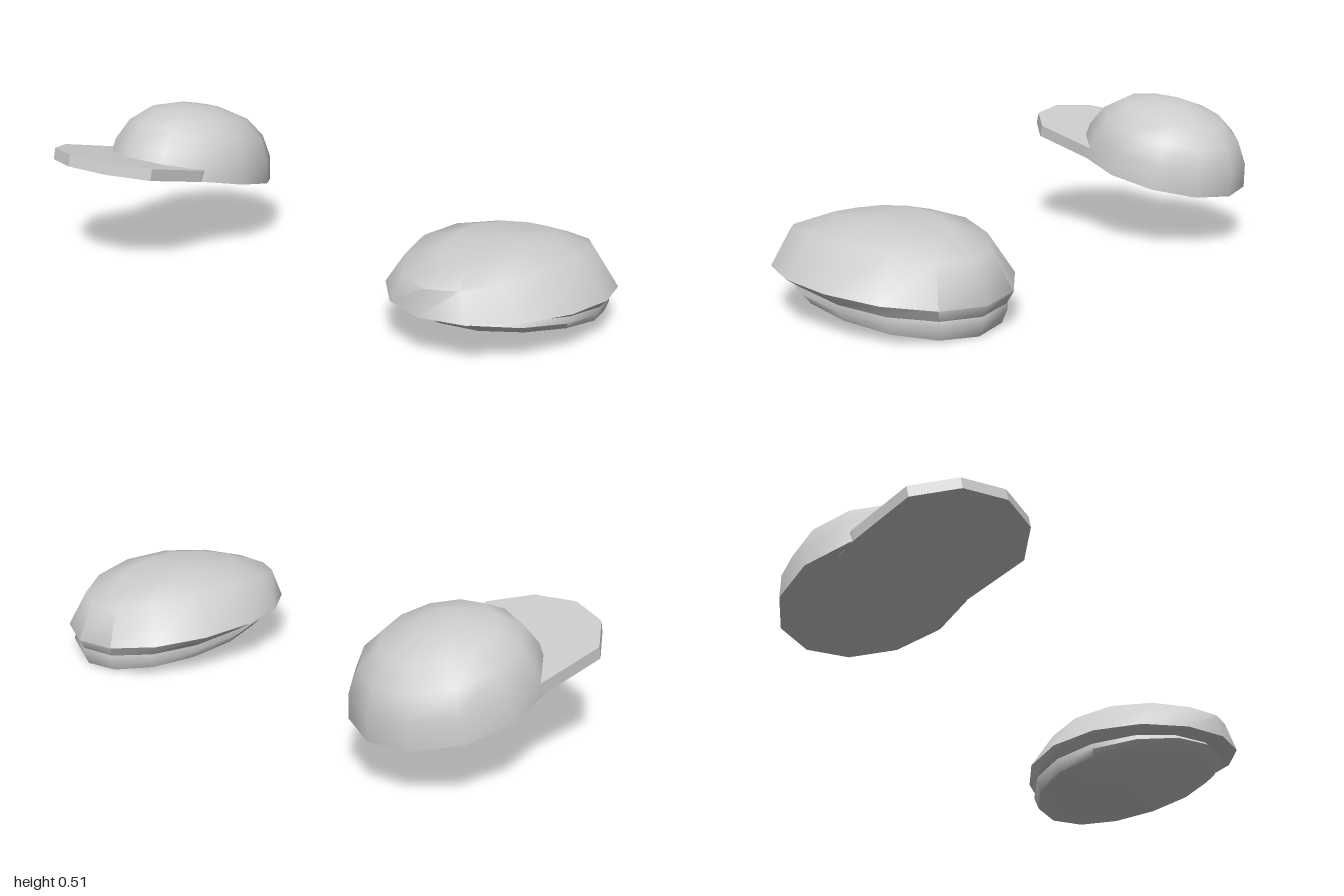
import * as THREE from 'three';
import { toCreasedNormals } from 'three/addons/utils/BufferGeometryUtils.js';

const material = new THREE.MeshStandardMaterial({ color: 0xcccccc });

// Closed loft through oval rings, bottom to top.
// Ring: [zFront, zBack, halfWidth, yFront, ySide, yBack]
function loft(rings, sides, topY) {
  const pos = [], index = [];
  for (const [zf, zb, rx, yf, ym, yb] of rings) {
    for (let j = 0; j < sides; j++) {
      const a = (j / sides) * Math.PI * 2, c = Math.cos(a);
      pos.push(
        rx * Math.sin(a),
        ym + ((yf - yb) / 2) * c + ((yf + yb) / 2 - ym) * c * c,
        (zf + zb) / 2 + ((zf - zb) / 2) * c
      );
    }
  }
  const first = rings[0], last = rings[rings.length - 1];
  const bottom = pos.length / 3, top = bottom + 1;
  pos.push(0, first[4], (first[0] + first[1]) / 2);
  pos.push(0, topY, (last[0] + last[1]) / 2);
  const end = (rings.length - 1) * sides;
  for (let j = 0; j < sides; j++) {
    const k = (j + 1) % sides;
    index.push(bottom, k, j, end + j, end + k, top);
    for (let i = 0; i < end; i += sides) {
      index.push(i + j, i + k, i + sides + k, i + j, i + sides + k, i + sides + j);
    }
  }
  const geo = new THREE.BufferGeometry();
  geo.setAttribute('position', new THREE.Float32BufferAttribute(pos, 3));
  geo.setIndex(index);
  return toCreasedNormals(geo, 0.95);
}

function part(name, geometry) {
  const mesh = new THREE.Mesh(geometry, material);
  mesh.name = name;
  return mesh;
}

function createPeakedCap() {
  const cap = new THREE.Group();
  cap.name = 'peakedCap';

  // Dome: rings of [radius along z, height], narrower across x
  const profile = [[0.325, 0], [0.311, 0.085], [0.268, 0.162], [0.195, 0.217], [0.083, 0.247]];
  const rings = profile.map(([r, h]) => [0.007 + r, 0.007 - r, r * 0.868, h, h, h]);
  cap.add(part('capDome', loft(rings, 12, 0.25)));

  // Flat peak, tucked into the dome at the back
  const outline = [[-0.23, 0.1], [0.23, 0.1], [0.242, 0.18], [0.245, 0.415], [0.145, 0.535],
    [0, 0.579], [-0.145, 0.535], [-0.245, 0.415], [-0.242, 0.18]];
  const shape = new THREE.Shape(outline.map(([x, z]) => new THREE.Vector2(x, z)));
  const peak = new THREE.ExtrudeGeometry(shape, { depth: 0.041, bevelEnabled: false });
  peak.rotateX(Math.PI / 2).translate(0, 0.04, 0);
  cap.add(part('capPeak', peak));

  cap.rotation.x = -0.226;
  cap.position.set(-0.718, 0.255, -0.03);
  return cap;
}

function createBeret() {
  const beret = new THREE.Group();
  beret.name = 'beret';

  // Head band
  beret.add(part('beretBand', loft([
    [0.2, -0.5, 0.287, 0.09, 0.062, 0.003],
    [0.238, -0.52, 0.302, 0.12, 0.087, 0.05],
    [0.215, -0.512, 0.296, 0.138, 0.118, 0.07],
  ], 14, 0.125)));

  // Wide soft crown
  beret.add(part('beretCrown', loft([
    [0.225, -0.514, 0.305, 0.135, 0.11, 0.065],
    [0.3, -0.533, 0.341, 0.136, 0.142, 0.1],
    [0.28, -0.475, 0.247, 0.222, 0.268, 0.222],
    [0.15, -0.34, 0.125, 0.272, 0.301, 0.275],
  ], 14, 0.303)));

  beret.position.x = 0.667;
  return beret;
}

export function createModel() {
  const model = new THREE.Group();
  model.name = 'hats';
  model.add(createPeakedCap(), createBeret());
  return model;
}
